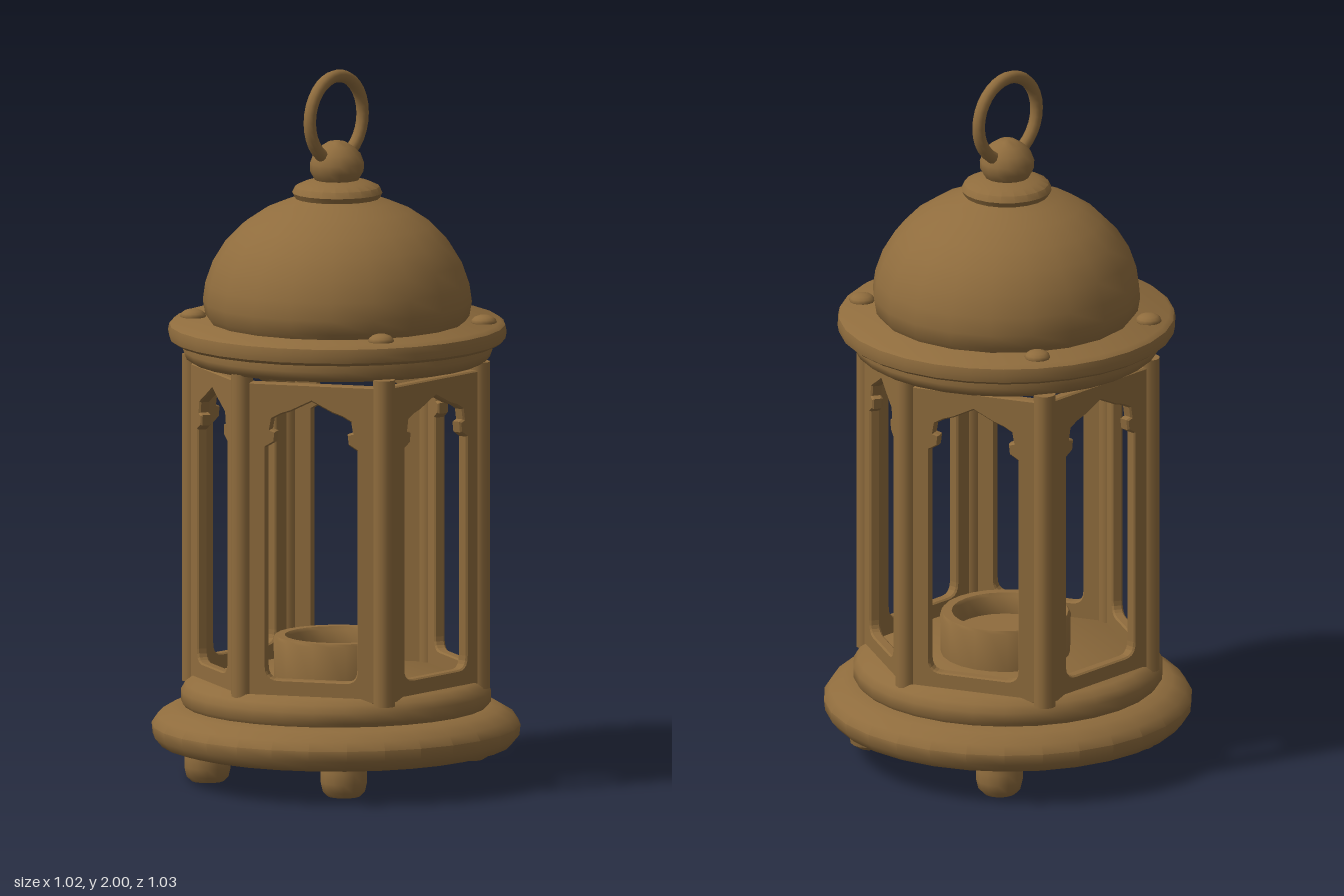
import * as THREE from 'three';
import { toCreasedNormals } from 'three/addons/utils/BufferGeometryUtils.js';

export function createModel() {
  const lantern = new THREE.Group();
  lantern.name = 'lantern';
  const bronze = new THREE.MeshStandardMaterial({ color: 0x8f6c3d });
  bronze.name = 'aged bronze';

  function add(name, geometry, x = 0, y = 0, z = 0, parent = lantern) {
    const mesh = new THREE.Mesh(geometry, bronze);
    mesh.name = name;
    mesh.position.set(x, y, z);
    parent.add(mesh);
    return mesh;
  }

  // Turned part from [radius, height] pairs, listed bottom to top
  function turned(points, sides) {
    const profile = points.map(([r, y]) => new THREE.Vector2(r, y));
    return toCreasedNormals(new THREE.LatheGeometry(profile, sides), 0.7);
  }

  // Base: bulging plinth and a stepped floor
  add('plinth', turned([
    [0, 0.095], [0.455, 0.095], [0.49, 0.105], [0.511, 0.13], [0.514, 0.16],
    [0.497, 0.185], [0.46, 0.207], [0.42, 0.215], [0, 0.215],
  ], 30));
  add('floorStep', turned([
    [0, 0.21], [0.42, 0.21], [0.432, 0.225], [0.432, 0.255], [0.42, 0.275],
    [0.4, 0.29], [0, 0.29],
  ], 30));

  // Open candle cup
  add('candleCup', turned([
    [0.18, 0.28], [0.182, 0.4], [0.176, 0.409], [0.15, 0.409], [0.143, 0.4],
    [0.14, 0.35], [0, 0.35],
  ], 24), 0.005, 0, 0.005);

  // Feet: three rounded knobs and one squashed knob
  const foot = turned([
    [0, 0], [0.045, 0], [0.06, 0.015], [0.066, 0.04], [0.066, 0.07], [0.058, 0.11],
  ], 14);
  [[-0.26, 0.01, 0.235], [-0.26, 0.005, -0.25], [0.285, 0.002, -0.235]]
    .forEach(([x, y, z]) => add('foot', foot, x, y, z));
  const wornFoot = turned([
    [0, 0.035], [0.03, 0.038], [0.052, 0.052], [0.055, 0.066], [0.04, 0.08],
    [0.026, 0.085], [0.026, 0.11],
  ], 14);
  add('wornFoot', wornFoot, 0.33, 0, 0.22);

  // Six corner columns, slightly turned about the centre
  const corners = [
    [0.382, 0.03], [0.197, 0.352], [-0.225, 0.35],
    [-0.382, -0.03], [-0.197, -0.352], [0.225, -0.35],
  ];
  const column = new THREE.CylinderGeometry(0.031, 0.031, 0.92, 12);
  corners.forEach(([x, z]) => add('column', column, x, 0.73, z));

  // Window panel: a frame pierced by a cusped pointed arch
  function panelGeometry(width) {
    const w = width / 2;
    const h = w - 0.07;
    const frame = new THREE.Shape();
    frame.moveTo(-w, 0.28);
    frame.lineTo(w, 0.28);
    frame.lineTo(w, 1.165);
    frame.lineTo(-w, 1.165);
    frame.closePath();
    const hole = new THREE.Path();
    hole.moveTo(-h + 0.04, 0.33);
    hole.quadraticCurveTo(-h, 0.33, -h, 0.37);
    const half = [[h, 0.99], [h - 0.025, 1.005], [h - 0.028, 1.03], [h - 0.012, 1.035],
      [h - 0.018, 1.07], [h - 0.045, 1.085], [h * 0.45, 1.095], [0, 1.125]];
    half.forEach(([x, y]) => hole.lineTo(-x, y));
    half.slice(0, -1).reverse().forEach(([x, y]) => hole.lineTo(x, y));
    hole.lineTo(h, 0.37);
    hole.quadraticCurveTo(h, 0.33, h - 0.04, 0.33);
    hole.closePath();
    frame.holes.push(hole);
    const geometry = new THREE.ExtrudeGeometry(frame, {
      depth: 0.022, bevelEnabled: true, bevelThickness: 0.005, bevelSize: 0.004,
      bevelSegments: 1, curveSegments: 5,
    });
    return geometry.translate(0, 0, -0.011);
  }
  corners.forEach(([ax, az], i) => {
    const [bx, bz] = corners[(i + 1) % 6];
    const panel = add('windowPanel', panelGeometry(Math.hypot(bx - ax, bz - az)),
      (ax + bx) / 2, 0, (az + bz) / 2);
    panel.rotation.y = Math.atan2(bz - az, ax - bx);
  });

  // Roof: collar, wide flange, dome with a neck
  const top = new THREE.Group();
  top.name = 'roof';
  top.position.x = 0.006;
  lantern.add(top);
  add('collar', turned([
    [0, 1.185], [0.41, 1.185], [0.425, 1.195], [0.432, 1.215], [0.428, 1.24], [0, 1.24],
  ], 30), 0, 0, 0, top);
  add('flange', turned([
    [0, 1.237], [0.455, 1.237], [0.468, 1.246], [0.472, 1.266], [0.468, 1.285],
    [0.455, 1.295], [0, 1.295],
  ], 30), 0, 0, 0, top);
  add('dome', turned([
    [0.35, 1.285], [0.368, 1.31], [0.375, 1.35], [0.368, 1.4], [0.347, 1.46],
    [0.312, 1.517], [0.265, 1.565], [0.205, 1.605], [0.15, 1.628], [0.118, 1.64],
    [0.126, 1.655], [0.118, 1.672], [0.09, 1.685], [0.05, 1.695], [0, 1.695],
  ], 20), 0, 0, 0, top);
  add('finial', turned([
    [0.045, 1.67], [0.062, 1.692], [0.075, 1.715], [0.076, 1.738], [0.066, 1.765],
    [0.045, 1.785], [0.024, 1.798], [0, 1.803],
  ], 16), -0.002, 0, 0, top);

  // Rivets on the flange
  const rivet = new THREE.SphereGeometry(0.036, 14, 8).scale(1, 0.55, 1);
  [[-0.205, -0.35], [0.23, -0.333], [-0.225, 0.335], [0.215, 0.35]]
    .forEach(([x, z]) => add('rivet', rivet, x, 1.298, z, top));

  // Hanging ring
  add('hangingRing', new THREE.TorusGeometry(0.118, 0.018, 10, 32), 0, 1.864, -0.004, top);

  return lantern;
}
